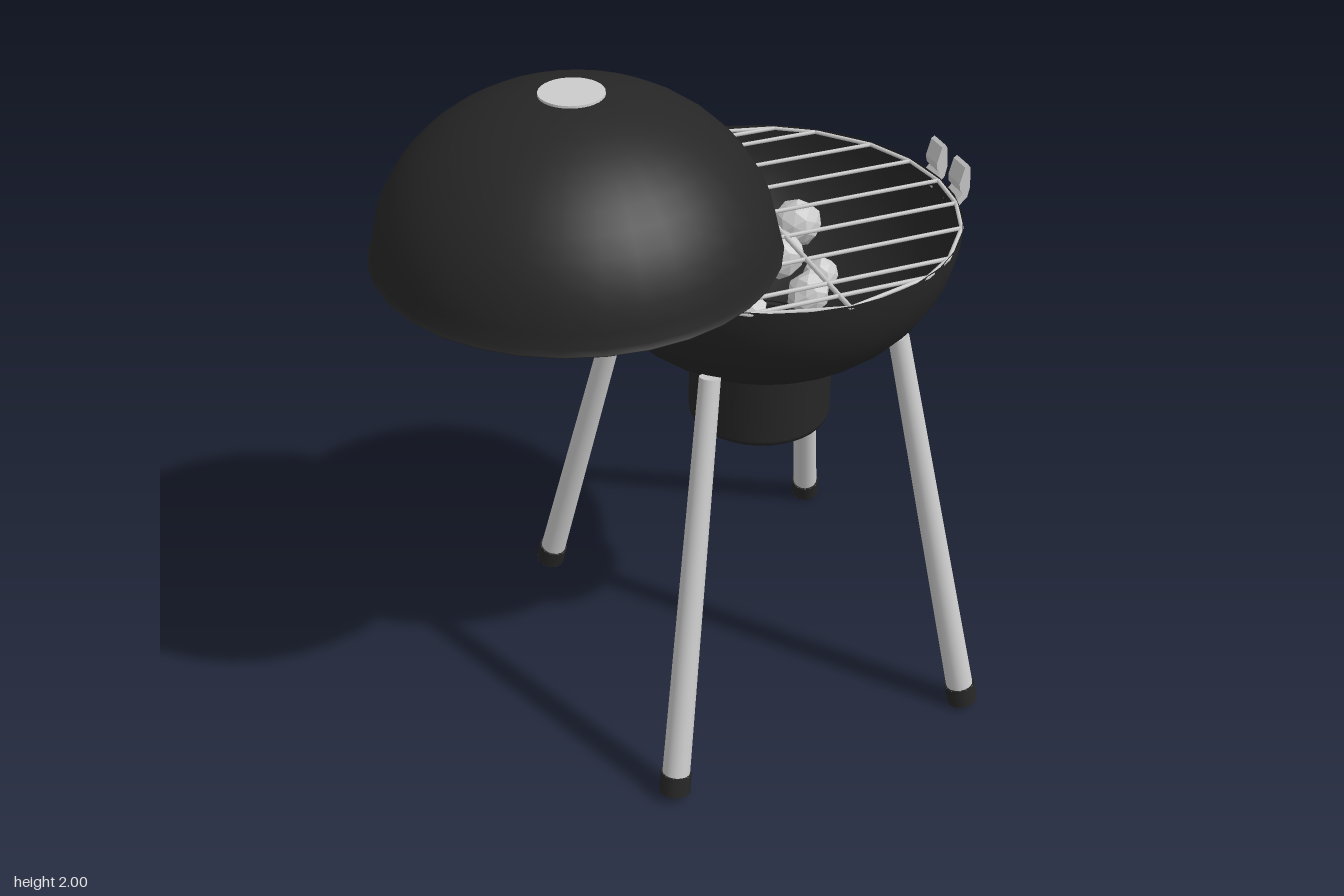
import * as THREE from 'three';

const dark = new THREE.MeshStandardMaterial({ color: 0x262626, side: THREE.DoubleSide });
const grey = new THREE.MeshStandardMaterial({ color: 0xcccccc });
const coalMat = new THREE.MeshStandardMaterial({ color: 0xcccccc, flatShading: true });

const RIM_Y = 1.545, R = 0.55, H = 0.455;
const BOWL = new THREE.Vector3(0.26, 0, 0.02);
const LID = new THREE.Vector3(-0.295, 0, 0.02);
const UP = new THREE.Vector3(0, 1, 0);

function add(parent, name, geometry, material) {
  const mesh = new THREE.Mesh(geometry, material);
  mesh.name = name;
  parent.add(mesh);
  return mesh;
}

// Cylinder running from point a to point b
function rod(parent, name, a, b, ra, rb, sides, material, open = false) {
  const geo = new THREE.CylinderGeometry(rb, ra, a.distanceTo(b), sides, 1, open);
  const mesh = add(parent, name, geo, material);
  mesh.position.copy(a).lerp(b, 0.5);
  mesh.quaternion.setFromUnitVectors(UP, b.clone().sub(a).normalize());
  return mesh;
}

// Quarter ellipse profile from radius r0 out to the rim, dir = 1 dome, -1 bowl
function domeProfile(r0, dir) {
  const points = [];
  const start = Math.asin(r0 / R);
  for (let i = 0; i <= 12; i++) {
    const t = start + (Math.PI / 2 - start) * i / 12;
    points.push(new THREE.Vector2(R * Math.sin(t), RIM_Y + dir * H * Math.cos(t)));
  }
  if (dir > 0) { // flared lip
    points[12].set(0.549, RIM_Y + 0.016);
    points.push(new THREE.Vector2(0.56, RIM_Y + 0.004), new THREE.Vector2(0.558, RIM_Y));
  } else points.reverse();
  return points;
}

function lathe(parent, name, points, centre) {
  const ordered = points[0].y > points[points.length - 1].y ? points.slice().reverse() : points;
  const mesh = add(parent, name, new THREE.LatheGeometry(ordered, 32), dark);
  mesh.position.copy(centre);
  return mesh;
}

// Lump of charcoal: a roughened icosahedron
function coal(parent, x, y, z, r, seed) {
  const geo = new THREE.IcosahedronGeometry(r, 1);
  const p = geo.attributes.position;
  const v = new THREE.Vector3();
  for (let i = 0; i < p.count; i++) {
    v.fromBufferAttribute(p, i);
    const n = Math.sin(v.x / r * 5 + seed) * Math.cos(v.y / r * 4 + seed * 2) * Math.sin(v.z / r * 3 + seed);
    v.multiplyScalar(1 + 0.12 * n);
    p.setXYZ(i, v.x, v.y, v.z);
  }
  geo.computeVertexNormals();
  add(parent, 'coal', geo, coalMat).position.set(x, y, z);
}

export function createModel() {
  const model = new THREE.Group();
  model.name = 'kettleGrill';

  // Shells
  lathe(model, 'bowl', domeProfile(0.2, -1), BOWL);
  lathe(model, 'lid', domeProfile(0.01, 1), LID);
  const vent = add(model, 'lidDisc', new THREE.CylinderGeometry(0.088, 0.09, 0.018, 32), grey);
  vent.position.set(LID.x, 1.991, LID.z);

  // Ash can under the bowl, with a bevelled lower edge
  const can = [[0, 0.88], [0.19, 0.88], [0.19, 0.88], [0.207, 0.888], [0.21, 0.9], [0.21, 0.9], [0.21, 1.13]];
  lathe(model, 'ashCan', can.map(([r, y]) => new THREE.Vector2(r, y)), BOWL);

  // Four splayed legs with dark end caps
  const feet = [[0.737, 0.557], [0.737, -0.603], [-0.237, 0.597], [-0.237, -0.563]];
  for (const [x, z] of feet) {
    const leg = new THREE.Group();
    leg.name = 'leg';
    const right = x > 0;
    const foot = new THREE.Vector3(x, right ? 0.008 : 0.016, z);
    const top = new THREE.Vector3(right ? 0.54 : -0.03, 1.25, z > 0 ? 0.33 : -0.295);
    const dir = top.clone().sub(foot).normalize();
    const along = d => foot.clone().addScaledVector(dir, d);
    rod(leg, 'legTube', along(0.015), top, 0.041, 0.03, 16, grey);
    rod(leg, 'footCap', along(0), along(0.062), 0.046, 0.046, 12, dark, true);
    const lip = add(leg, 'footLip', new THREE.RingGeometry(0.03, 0.046, 12), dark);
    lip.position.copy(foot);
    lip.quaternion.setFromUnitVectors(new THREE.Vector3(0, 0, 1), dir);
    const collar = add(leg, 'footCollar', new THREE.RingGeometry(0.038, 0.046, 12), dark);
    collar.position.copy(along(0.062));
    collar.quaternion.copy(lip.quaternion);
    model.add(leg);
  }

  // Cooking grate: parallel wires, a cross wire and an outer ring joining the ends
  const grate = new THREE.Group();
  grate.name = 'grate';
  grate.position.set(BOWL.x, RIM_Y - 0.008, BOWL.z);
  const rg = 0.545;
  const offsets = [-0.487, -0.418, -0.28, -0.14, 0, 0.14, 0.275, 0.412, 0.48];
  const ends = offsets.map(z => new THREE.Vector3(Math.sqrt(rg * rg - z * z), 0, z));
  const mirror = v => new THREE.Vector3(-v.x, 0, v.z);
  ends.forEach(e => rod(grate, 'grateWire', mirror(e), e, 0.006, 0.006, 6, grey));
  const back = new THREE.Vector3(0, 0, -rg), front = new THREE.Vector3(0, 0, rg);
  rod(grate, 'crossWire', back, front, 0.007, 0.007, 6, grey);
  const ring = [back, ...ends, front, ...ends.map(mirror).reverse()];
  ring.forEach((p, i) => rod(grate, 'grateRing', p, ring[(i + 1) % ring.length], 0.006, 0.006, 6, grey));
  model.add(grate);

  // Two lid hooks on the bowl's rim
  const hook = new THREE.Shape([
    [0.803, 1.5], [0.815, 1.503], [0.842, 1.53], [0.848, 1.56], [0.843, 1.622], [0.836, 1.632],
    [0.826, 1.625], [0.813, 1.575], [0.816, 1.555], [0.826, 1.543], [0.81, 1.525]
  ].map(([x, y]) => new THREE.Vector2(x, y)));
  for (const z of [-0.075, 0.06]) {
    add(model, 'lidHook', new THREE.ExtrudeGeometry(hook, { depth: 0.067, bevelEnabled: false }), grey)
      .position.z = z;
  }

  // Coals lying in the bowl
  [[0.465, 1.355, -0.2, 0.072], [0.325, 1.38, 0, 0.067], [0.415, 1.34, 0.075, 0.05],
    [0.285, 1.41, 0.265, 0.06], [0.15, 1.37, -0.31, 0.06], [0.09, 1.42, 0.31, 0.05],
    [0.06, 1.37, 0.06, 0.06]].forEach((c, i) => coal(model, ...c, i * 1.7 + 1));

  return model;
}
